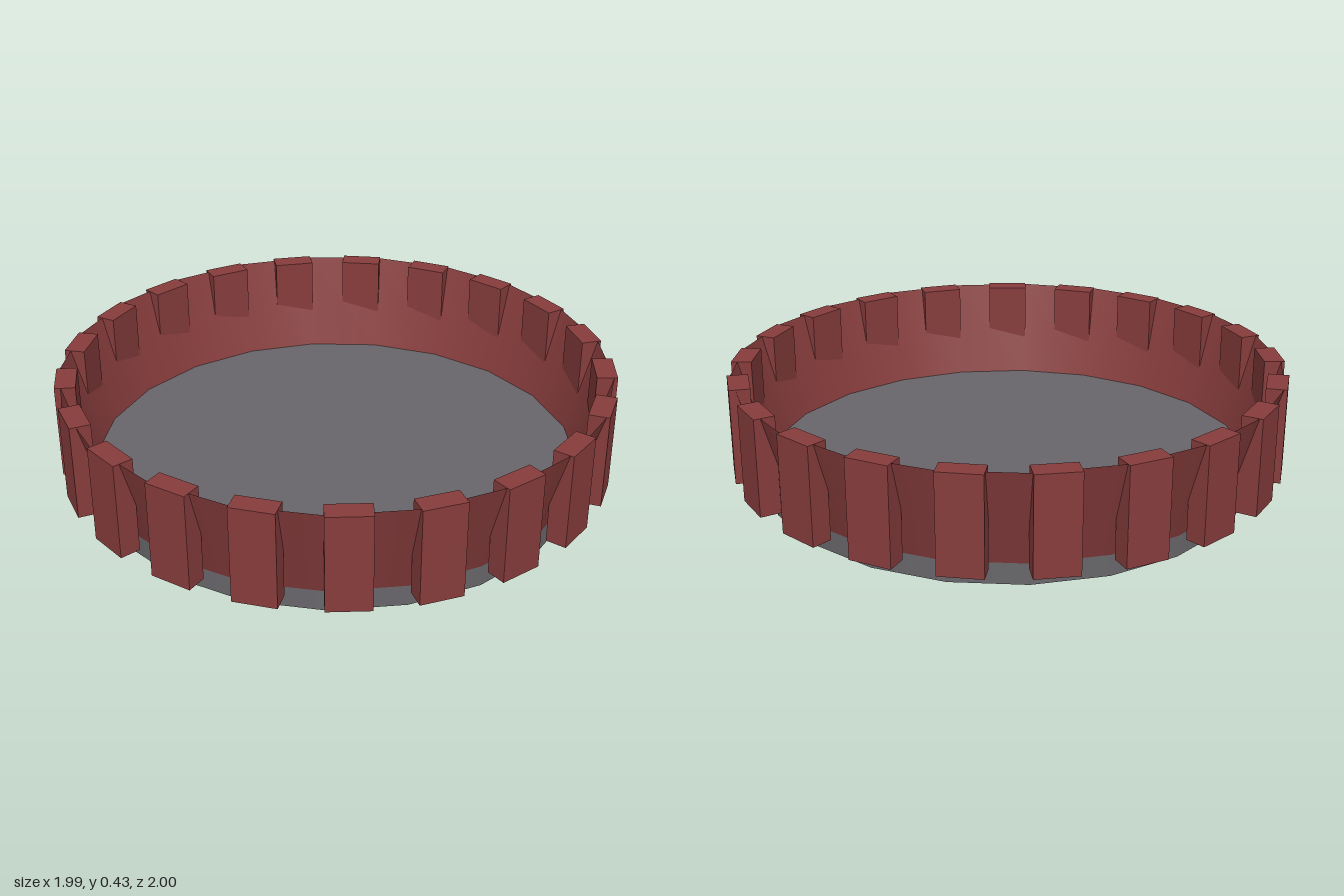
import * as THREE from 'three';

const SIDES = 21;
const FLOOR_Y = 0.075, BLOCK_Y = 0.08, TOP_Y = 0.43;
const BASE_R = 0.884, RIM_R = 0.987;

export function createModel() {
  const model = new THREE.Group();
  model.name = 'flaredTray';

  const grey = new THREE.MeshStandardMaterial({ name: 'grey', color: 0x68666a });
  const red = new THREE.MeshStandardMaterial({ name: 'brickRed', color: 0x873c3c });
  red.side = THREE.DoubleSide;

  // Solid disc that forms the foot and the floor
  const base = new THREE.Mesh(new THREE.CylinderGeometry(BASE_R, BASE_R, FLOOR_Y, SIDES), grey);
  base.name = 'base';
  base.position.y = FLOOR_Y / 2;
  model.add(base);

  // Thin wall flaring outwards from the floor
  const wallHeight = TOP_Y - FLOOR_Y;
  const wall = new THREE.Mesh(
    new THREE.CylinderGeometry(RIM_R, BASE_R, wallHeight, SIDES, 1, true), red);
  wall.name = 'wall';
  wall.position.y = FLOOR_Y + wallHeight / 2;
  model.add(wall);

  // Ring of upright blocks set through the wall, the first at +x
  const blocks = new THREE.Group();
  blocks.name = 'blocks';
  const blockHeight = TOP_Y - BLOCK_Y;
  const blockGeometry = new THREE.BoxGeometry(0.074, blockHeight, 0.152);
  blockGeometry.translate(0.959, BLOCK_Y + blockHeight / 2, 0);
  for (let i = 0; i < SIDES; i++) {
    const block = new THREE.Mesh(blockGeometry, red);
    block.name = 'block' + (i + 1);
    block.rotation.y = (i / SIDES) * Math.PI * 2;
    blocks.add(block);
  }
  model.add(blocks);

  return model;
}
